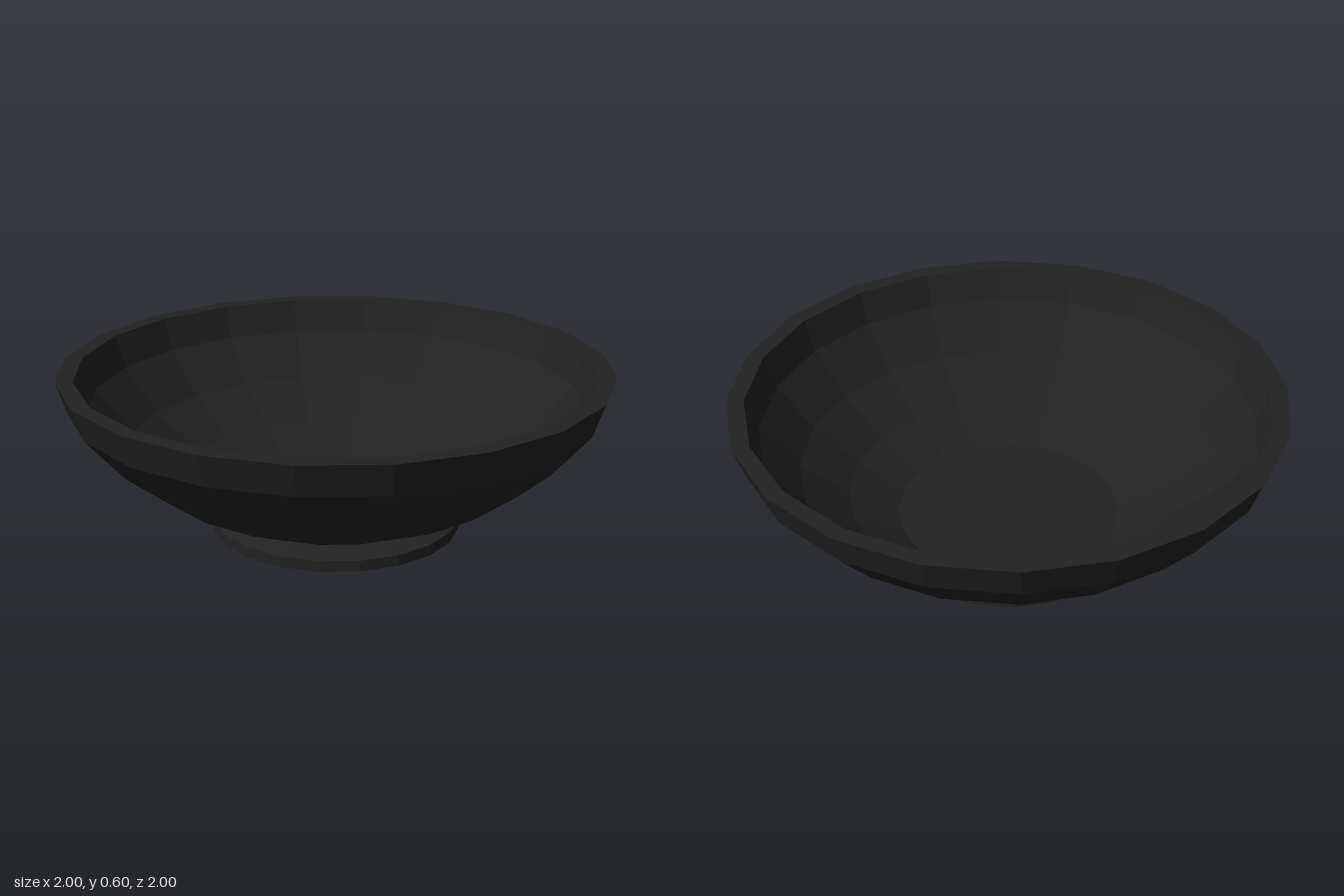
import * as THREE from 'three';

const SIDES = 20;

export function createModel() {
  const group = new THREE.Group();
  group.name = 'bowl';
  const material = new THREE.MeshStandardMaterial({ color: 0x222222, flatShading: true });

  // Revolves a profile of [radius, height] pairs, outside going up, inside coming down
  const addLathe = (name, profile) => {
    const points = profile.map(([r, y]) => new THREE.Vector2(r, y));
    const mesh = new THREE.Mesh(new THREE.LatheGeometry(points, SIDES), material);
    mesh.name = name;
    group.add(mesh);
  };

  // Low solid foot with a sloped shoulder tucked under the bowl
  addLathe('foot', [[0, 0], [0.455, 0], [0.455, 0.04], [0.37, 0.067]]);

  // Thick-walled shell: outer wall, flat rim, inner wall, flat floor
  addLathe('shell', [
    [0.37, 0.067], [0.45, 0.1], [0.645, 0.19], [0.82, 0.32], [0.96, 0.48], [1, 0.6],
    [0.937, 0.6], [0.895, 0.48], [0.76, 0.32], [0.59, 0.19], [0.41, 0.1], [0, 0.1],
  ]);

  return group;
}
